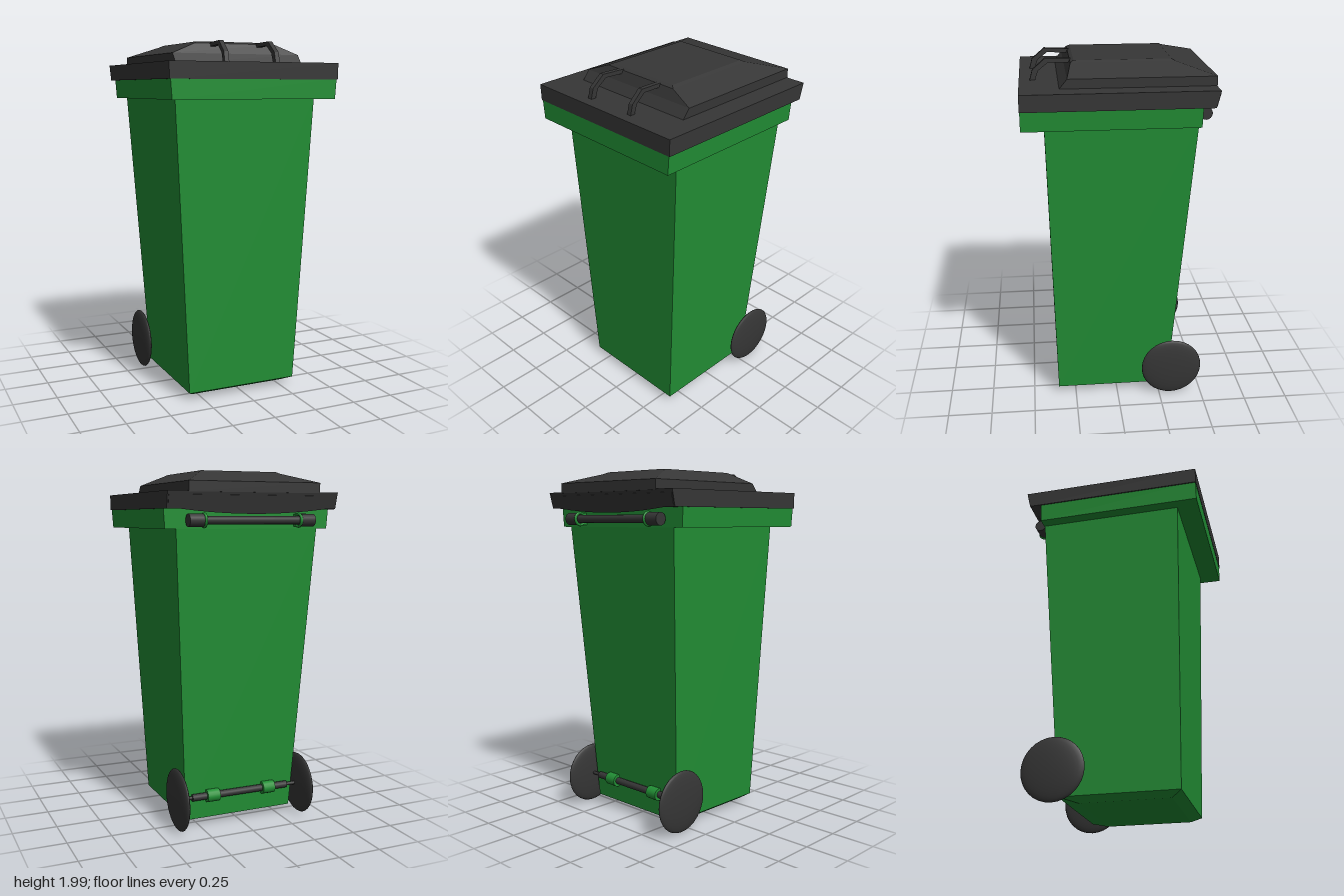
import * as THREE from 'three';

const green = new THREE.MeshStandardMaterial({ color: 0x228f35 });
green.name = 'green plastic';
const dark = new THREE.MeshStandardMaterial({ color: 0x363636 });
dark.name = 'dark grey plastic';

// Closed solid from rectangular sections, bottom to top: [y, halfWidth, zBack, zFront]
function loft(sections) {
  const rings = sections.map(([y, x, b, f]) => [[-x, y, f], [x, y, f], [x, y, b], [-x, y, b]]);
  const pos = [];
  const quad = (a, b, c, d) => pos.push(...a, ...b, ...c, ...a, ...c, ...d);
  for (let i = 0; i < rings.length - 1; i++) {
    const lo = rings[i], hi = rings[i + 1];
    for (let k = 0; k < 4; k++) {
      const n = (k + 1) % 4;
      quad(lo[k], lo[n], hi[n], hi[k]);
    }
  }
  const first = rings[0], last = rings[rings.length - 1];
  quad(first[3], first[2], first[1], first[0]);
  quad(...last);
  const geo = new THREE.BufferGeometry();
  geo.setAttribute('position', new THREE.Float32BufferAttribute(pos, 3));
  geo.computeVertexNormals();
  return geo;
}

// Cylinder lying along x
function rod(radius, length, sides = 16) {
  return new THREE.CylinderGeometry(radius, radius, length, sides).rotateZ(Math.PI / 2);
}

export function createModel() {
  const bin = new THREE.Group();
  bin.name = 'wheeledBin';
  const add = (name, geo, mat, x = 0, y = 0, z = 0) => {
    const mesh = new THREE.Mesh(geo, mat);
    mesh.name = name;
    mesh.position.set(x, y, z);
    bin.add(mesh);
    return mesh;
  };

  // Tapered body with a bevelled foot
  add('body', loft([
    [0.02, 0.285, -0.2, 0.295],
    [0.05, 0.33, -0.304, 0.352],
    [1.7, 0.42, -0.42, 0.392],
  ]), green);

  // Overhanging rim, flush with the body at the back
  add('rim', loft([
    [1.69, 0.482, -0.423, 0.513],
    [1.8, 0.49, -0.425, 0.513],
  ]), green);

  // Lid slab, raised dome and its bevelled top panel
  add('lid', loft([
    [1.795, 0.496, -0.49, 0.515],
    [1.885, 0.498, -0.512, 0.515],
  ]), dark);
  add('lidDome', loft([
    [1.88, 0.383, -0.515, 0.312],
    [1.935, 0.383, -0.515, 0.267],
    [1.99, 0.245, -0.315, 0.242],
    [2.0, 0.225, -0.295, 0.224],
  ]), dark);

  // Rear flap with a bowed lower edge
  const flap = new THREE.Shape();
  flap.moveTo(0.49, -0.02);
  flap.lineTo(-0.49, -0.02);
  flap.lineTo(-0.49, -0.085);
  flap.quadraticCurveTo(0, -0.155, 0.49, -0.085);
  const flapGeo = new THREE.ExtrudeGeometry(flap, { depth: 0.015, bevelEnabled: false, curveSegments: 12 });
  add('lidFlap', flapGeo, dark, 0, 1.885, -0.515).rotation.x = -0.24;

  // Two bent lid handles, profile drawn as (z, y)
  const grip = new THREE.Shape([
    [0.458, 1.88], [0.442, 1.94], [0.372, 2.0], [0.23, 1.995],
    [0.23, 1.972], [0.355, 1.978], [0.41, 1.935], [0.43, 1.88],
  ].map(([z, y]) => new THREE.Vector2(z, y)));
  for (const side of [-1, 1]) {
    const geo = new THREE.ExtrudeGeometry(grip, { depth: 0.026, bevelEnabled: false });
    geo.translate(0, 0, -0.013).rotateY(-Math.PI / 2);
    // Lean slightly outwards toward the front
    const p = geo.attributes.position;
    for (let i = 0; i < p.count; i++) p.setX(i, p.getX(i) + side * (0.14 + 0.05 * (p.getZ(i) - 0.24)));
    geo.computeVertexNormals();
    add('lidHandle', geo, dark);
  }

  // Hinge bar with thick ends held by green loops
  const hingeY = 1.735, hingeZ = -0.465;
  add('hingeBar', rod(0.022, 0.6), dark, 0, hingeY, hingeZ);
  for (const side of [-1, 1]) {
    add('hingeEnd', rod(0.035, 0.09), dark, side * 0.325, hingeY, hingeZ);
    const loop = new THREE.TorusGeometry(0.034, 0.008, 8, 20).rotateY(Math.PI / 2);
    add('hingeLoop', loop, green, side * 0.28, hingeY, hingeZ);
    add('hingeMount', new THREE.BoxGeometry(0.016, 0.07, 0.03), green, side * 0.28, hingeY, -0.43);
  }

  // Axle, its brackets and the lens-shaped wheels
  const axleY = 0.185, axleZ = -0.325;
  add('axle', rod(0.02, 0.6, 12), dark, 0, axleY, axleZ);
  add('axlePin', rod(0.01, 0.74, 12), dark, 0, axleY, axleZ);
  for (const side of [-1, 1]) {
    add('axleBracket', rod(0.036, 0.075), green, side * 0.175, axleY, axleZ);
    const wheel = new THREE.SphereGeometry(0.177, 32, 16).rotateZ(Math.PI / 2).scale(0.15, 1, 1);
    add('wheel', wheel, dark, side * 0.383, axleY, -0.32);
  }
  return bin;
}
